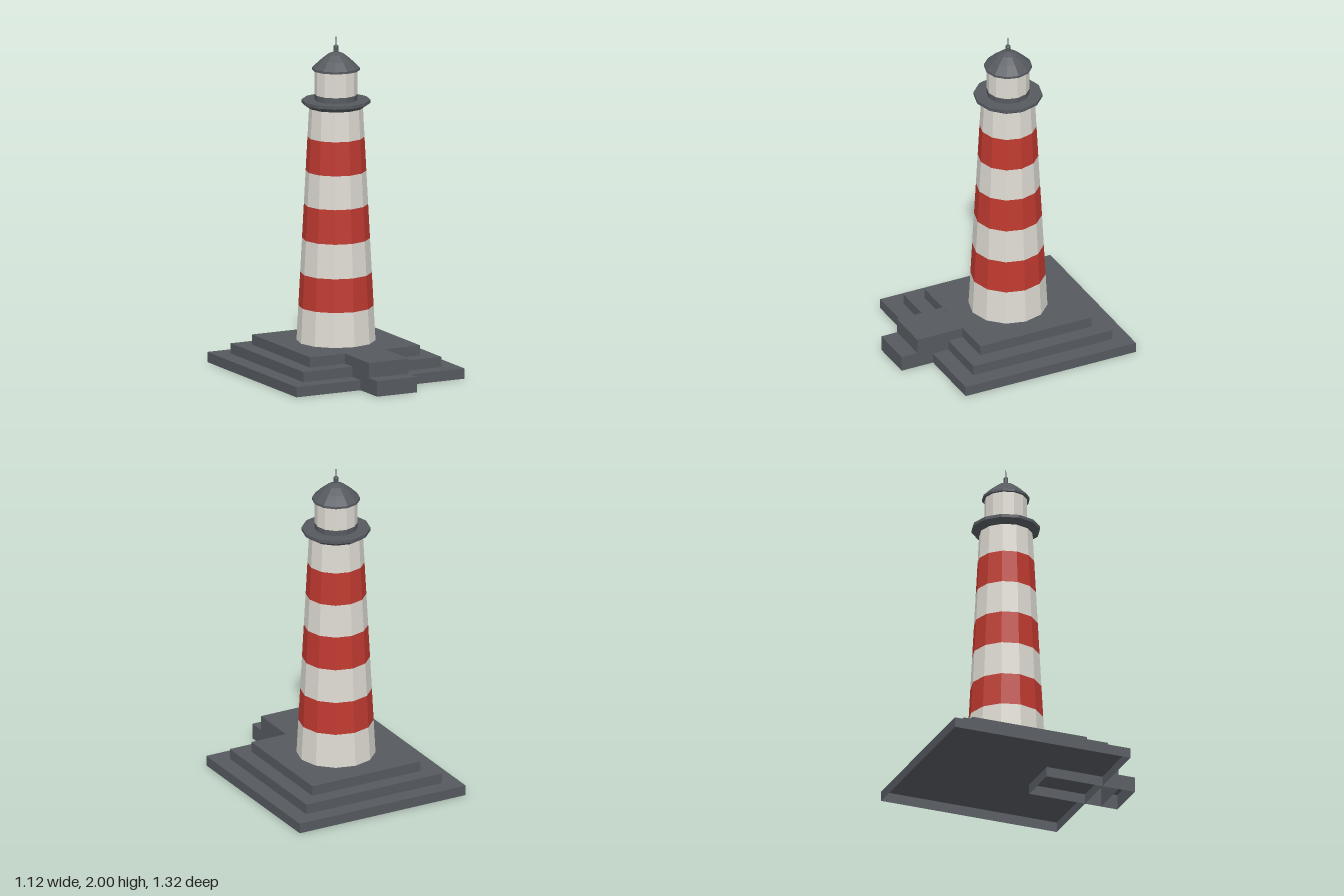
import * as THREE from 'three';

const SIDES = 12;
const CENTRE_Z = -0.104;

function material(name, color, side = THREE.FrontSide) {
  const m = new THREE.MeshStandardMaterial({ color, flatShading: true, side });
  m.name = name;
  return m;
}

// Faceted turned shape from [radius, height] points, bottom to top
function turned(points, sides = SIDES) {
  const profile = points.map(([r, y]) => new THREE.Vector2(r, y));
  const geometry = new THREE.LatheGeometry(profile, sides).toNonIndexed();
  geometry.computeVertexNormals();
  return geometry;
}

// Box given by its limits, open underneath
function openBox(x0, x1, y0, y1, z0, z1) {
  const geometry = new THREE.BoxGeometry(x1 - x0, y1 - y0, z1 - z0);
  const index = Array.from(geometry.index.array);
  index.splice(18, 6);
  geometry.setIndex(index);
  geometry.clearGroups();
  geometry.translate((x0 + x1) / 2, (y0 + y1) / 2, (z0 + z1) / 2);
  return geometry;
}

export function createModel() {
  const stone = material('dark grey', 0x565a5f, THREE.DoubleSide);
  const white = material('off white', 0xdedbd3, THREE.DoubleSide);
  const red = material('red', 0xbf3a30, THREE.DoubleSide);

  const model = new THREE.Group();
  model.name = 'lighthouse';
  const add = (parent, name, geometry, mat) => {
    const mesh = new THREE.Mesh(geometry, mat);
    mesh.name = name;
    parent.add(mesh);
  };

  // Stepped square base
  const base = new THREE.Group();
  base.name = 'base';
  model.add(base);
  [0.558, 0.457, 0.364].forEach((h, i) => {
    const box = openBox(-h, h, i * 0.061, (i + 1) * 0.061, CENTRE_Z - h, CENTRE_Z + h);
    add(base, `baseTier${i + 1}`, box, stone);
  });

  // Landing and its lower step at the front
  add(base, 'landing', openBox(-0.132, 0.132, 0, 0.1825, 0.1, 0.557), stone);
  add(base, 'landingStep', openBox(-0.132, 0.132, 0, 0.093, 0.557, 0.66), stone);

  // Tapered tower in alternating bands
  const tower = new THREE.Group();
  tower.name = 'tower';
  tower.position.z = CENTRE_Z;
  model.add(tower);
  const heights = [0.18, 0.39, 0.59, 0.795, 1.0, 1.2, 1.402, 1.585];
  const radius = (y) => 0.232 - 0.074 * (y - 0.18) / 1.4;
  for (let i = 0; i < heights.length - 1; i++) {
    const [a, b] = [heights[i], heights[i + 1]];
    const band = turned([[radius(a), a], [radius(b), b]]);
    add(tower, `towerBand${i + 1}`, band, i % 2 ? red : white);
  }

  // Gallery, lantern room and domed roof
  add(tower, 'gallery', turned([
    [0.1, 1.58], [0.165, 1.58], [0.202, 1.605], [0.202, 1.624], [0.1, 1.624],
  ]), stone);
  add(tower, 'lanternBase', turned([[0.126, 1.62], [0.126, 1.657]]), stone);
  add(tower, 'lantern', turned([[0.126, 1.657], [0.126, 1.81]]), white);
  add(tower, 'roof', turned([
    [0.05, 1.803], [0.141, 1.803], [0.141, 1.816], [0.093, 1.862],
    [0.05, 1.896], [0.012, 1.913],
  ]), stone);

  // Finial and spike
  add(tower, 'finial', turned([
    [0.015, 1.9], [0.015, 1.945], [0.011, 1.95], [0.002, 1.95],
  ], 8), stone);
  add(tower, 'spike', turned([[0.004, 1.945], [0.002, 2.0]], 6), stone);

  return model;
}
